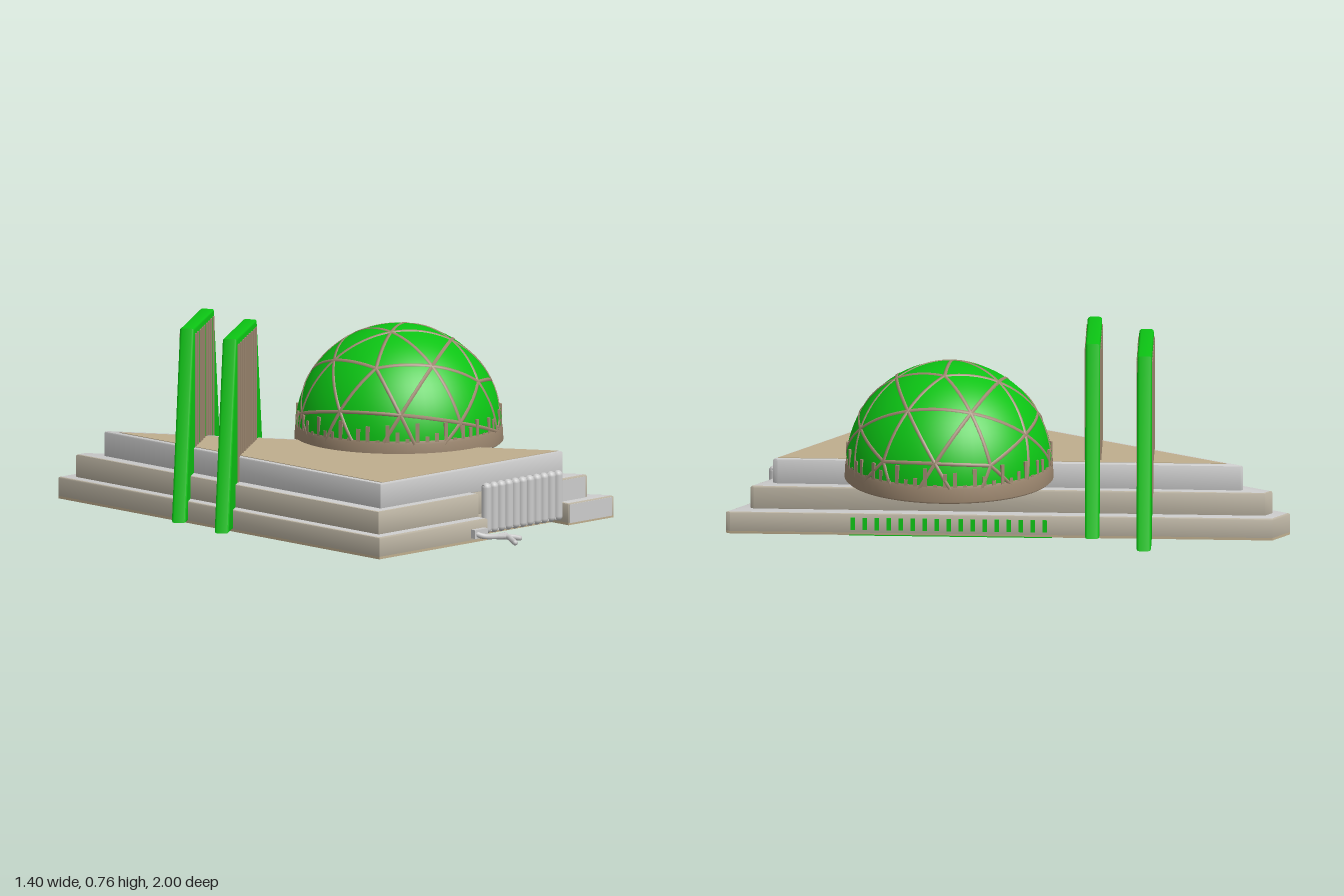
import * as THREE from 'three';
import { toCreasedNormals } from 'three/addons/utils/BufferGeometryUtils.js';

const mat = (color) => new THREE.MeshStandardMaterial({ color });
const grey = mat(0xcccccc), green = mat(0x0cc414), brown = mat(0xa08a72), tan = mat(0xbfae8e), riser = mat(0xbdb5a4);

function add(parent, name, geometry, material, x = 0, y = 0, z = 0) {
  const mesh = new THREE.Mesh(geometry, material);
  mesh.name = name;
  mesh.position.set(x, y, z);
  parent.add(mesh);
  return mesh;
}

// Flat plan outline given as [x, z] corners, raised from y0 to y1
function slab(points, y0, y1, bevel = 0.007) {
  const shape = new THREE.Shape(points.map(([x, z]) => new THREE.Vector2(x, -z)));
  const g = new THREE.ExtrudeGeometry(shape, {
    depth: y1 - y0 - 2 * bevel, bevelEnabled: bevel > 0, bevelThickness: bevel,
    bevelSize: bevel, bevelOffset: -bevel, bevelSegments: 2,
  });
  g.translate(0, 0, bevel).rotateX(-Math.PI / 2).translate(0, y0, 0);
  return toCreasedNormals(g, 0.6);
}

// Triangular stepped plinth with a recess for the grille
function plinth() {
  const group = new THREE.Group();
  group.name = 'plinth';
  const recess = [[0.45, 0.735], [0, 0.735]];
  const bottom = [[-0.6, -1], [-0.48, -1], [0.7, 0.81], [0.7, 0.83], [0.45, 0.83], ...recess, [0, 0.83], [-0.6, 0.83]];
  const middle = [[-0.555, -0.945], [-0.505, -0.945], [0.6, 0.765], [0.6, 0.78], [0.45, 0.78], ...recess, [0, 0.78], [-0.555, 0.78]];
  const top = [[-0.5, -0.84], [-0.485, -0.84], [0.51, 0.715], [0.51, 0.735], [-0.5, 0.735]];
  const floor = [[-0.48, -0.775], [0.495, 0.722], [-0.48, 0.722]];
  add(group, 'underside', slab(bottom, 0.002, 0.012, 0), tan);
  add(group, 'bottomStep', slab(bottom, 0.005, 0.09), [grey, riser]);
  add(group, 'middleStep', slab(middle, 0.085, 0.182), [grey, riser]);
  add(group, 'topStep', slab(top, 0.175, 0.282), grey);
  add(group, 'terraceFloor', slab(floor, 0.27, 0.284, 0), tan);
  // Blocks to the right of the grille, in plain grey
  add(group, 'lowerCheek', slab([[0.455, 0.8], [0.69, 0.81], [0.69, 0.832], [0.455, 0.832]], 0.01, 0.085, 0), grey);
  add(group, 'upperCheek', slab([[0.455, 0.75], [0.592, 0.77], [0.592, 0.782], [0.455, 0.782]], 0.09, 0.175, 0), grey);

  // Green tint below the dome, on the underside and sloping risers
  const n = new THREE.Vector2(0.838, -0.546), centre = new THREE.Vector2(0.28, 0.035);
  const segment = [];
  const a0 = Math.atan2(n.y, n.x), half = Math.acos(-0.071 / 0.41);
  for (let i = 0; i <= 24; i++) {
    const a = a0 + half + (2 * Math.PI - 2 * half) * i / 24;
    segment.push([centre.x + 0.41 * Math.cos(a), centre.y + 0.41 * Math.sin(a)]);
  }
  add(group, 'greenUnderside', slab(segment, 0, 0.004, 0), green);
  const tint = (z, y, height, edgeX, edgeZ, width) => {
    const x = edgeX + (z - edgeZ) * 0.652;
    add(group, 'greenDash', new THREE.BoxGeometry(0.006, height, width), green, x, y, z).rotation.y = 0.5776;
  };
  for (let i = 0; i < 17; i++) {
    const z = -0.24 + i * 0.04;
    tint(z, 0.048, 0.05, 0.7, 0.81, 0.018);
    if (z > -0.2) tint(z, 0.23, 0.06, 0.51, 0.715, 0.038);
  }
  return group;
}

// Geodesic dome with raised struts and a streaked skirt
function dome() {
  const group = new THREE.Group();
  group.name = 'dome';
  const R = 0.41, base = 0.06;
  const profile = [[0, -base], [0.405, -base], [0.412, -base + 0.008]].map((p) => new THREE.Vector2(...p));
  for (let i = 0; i <= 24; i++) {
    const a = i / 24 * Math.PI / 2;
    profile.push(new THREE.Vector2(i === 24 ? 0 : R * Math.cos(a), R * Math.sin(a)));
  }
  add(group, 'shell', toCreasedNormals(new THREE.LatheGeometry(profile, 64), 0.6), green);
  const skirt = [[0.407, -base], [0.416, -base + 0.008], [0.413, 0], [0.409, 0.015]].map((p) => new THREE.Vector2(...p));
  add(group, 'skirt', new THREE.LatheGeometry(skirt, 64), brown).material = new THREE.MeshStandardMaterial({ color: 0xa08a72, side: THREE.DoubleSide });
  for (let i = 0; i < 64; i++) {
    const a = i / 64 * Math.PI * 2, h = 0.05 + 0.035 * Math.sin(i * 2.3);
    const streak = add(group, 'skirtStreak', new THREE.BoxGeometry(0.016, h, 0.008), brown,
      0.407 * Math.sin(a), h / 2, 0.407 * Math.cos(a));
    streak.rotation.y = a;
  }
  const ico = new THREE.IcosahedronGeometry(1, 1).rotateY(0.5).rotateZ(0.22).rotateX(0.12);
  const p = new THREE.EdgesGeometry(ico, 1).attributes.position;
  for (let i = 0; i < p.count; i += 2) {
    const a = new THREE.Vector3().fromBufferAttribute(p, i), b = new THREE.Vector3().fromBufferAttribute(p, i + 1);
    const pts = [];
    for (let k = 0; k <= 8; k++) {
      const v = a.clone().lerp(b, k / 8).setLength(R - 0.0065);
      if (v.y > -0.02) pts.push(v);
    }
    if (pts.length > 1) add(group, 'strut', new THREE.TubeGeometry(new THREE.CatmullRomCurve3(pts), 8, 0.0105, 6), brown);
  }
  group.position.set(0.28, 0.32, 0.037);
  return group;
}

// Tapered standing wall with vertical stripes on both faces
function wall(x, z) {
  const group = new THREE.Group();
  group.name = 'taperedWall';
  const b = 0.01, t = 0.058;
  const shape = new THREE.Shape([[-0.39, 0.01], [0.39, 0.01], [0.215, 0.765], [-0.215, 0.765]].map((p) => new THREE.Vector2(...p)));
  const g = new THREE.ExtrudeGeometry(shape, { depth: t - 2 * b, bevelThickness: b, bevelSize: b, bevelOffset: -b, bevelSegments: 3 });
  add(group, 'wallBody', toCreasedNormals(g.translate(0, 0, -t / 2 + b), 0.6), green);
  for (let i = 0; i < 9; i++) {
    for (const side of [-1, 1]) {
      add(group, 'wallStripe', new THREE.BoxGeometry(0.022, 0.56, 0.008), brown, (i - 4) * 0.046, 0.46, side * t / 2);
    }
  }
  group.position.set(x, 0, z);
  group.rotation.y = 35 * Math.PI / 180;
  return group;
}

// Row of rounded bars standing in the recess
function grille() {
  const group = new THREE.Group();
  group.name = 'grille';
  add(group, 'grillePanel', new THREE.BoxGeometry(0.43, 0.19, 0.014), grey, 0.228, 0.122, 0.793);
  for (let i = 0; i < 11; i++) {
    add(group, 'grilleBar', new THREE.CapsuleGeometry(0.02, 0.165, 5, 12), grey, 0.03 + i * 0.0396, 0.122, 0.793);
  }
  return group;
}

// Small branching piece lying on the ground in front
function branch() {
  const group = new THREE.Group();
  group.name = 'fallenBranch';
  const limbs = [
    [[-0.08, 0.04, 0.84], [-0.06, 0.03, 0.865], [0, 0.022, 0.875], [0.07, 0.018, 0.86]],
    [[0.01, 0.02, 0.875], [0.035, 0.02, 0.91], [0.02, 0.015, 0.95], [0, 0.012, 0.988]],
    [[0.03, 0.02, 0.9], [0.055, 0.018, 0.915], [0.075, 0.014, 0.935]],
  ];
  for (const pts of limbs) {
    const curve = new THREE.CatmullRomCurve3(pts.map((q) => new THREE.Vector3(...q)));
    add(group, 'limb', new THREE.TubeGeometry(curve, 14, 0.011, 8), grey);
    for (const end of [pts[0], pts[pts.length - 1]]) add(group, 'limbEnd', new THREE.SphereGeometry(0.011, 8, 6), grey, ...end);
  }
  add(group, 'stub', new THREE.BoxGeometry(0.07, 0.035, 0.025), grey, -0.055, 0.038, 0.84);
  return group;
}

export function createModel() {
  const model = new THREE.Group();
  model.name = 'domePavilion';
  model.add(plinth(), dome(), wall(-0.372, -0.2), wall(-0.337, -0.48), grille(), branch());
  return model;
}
